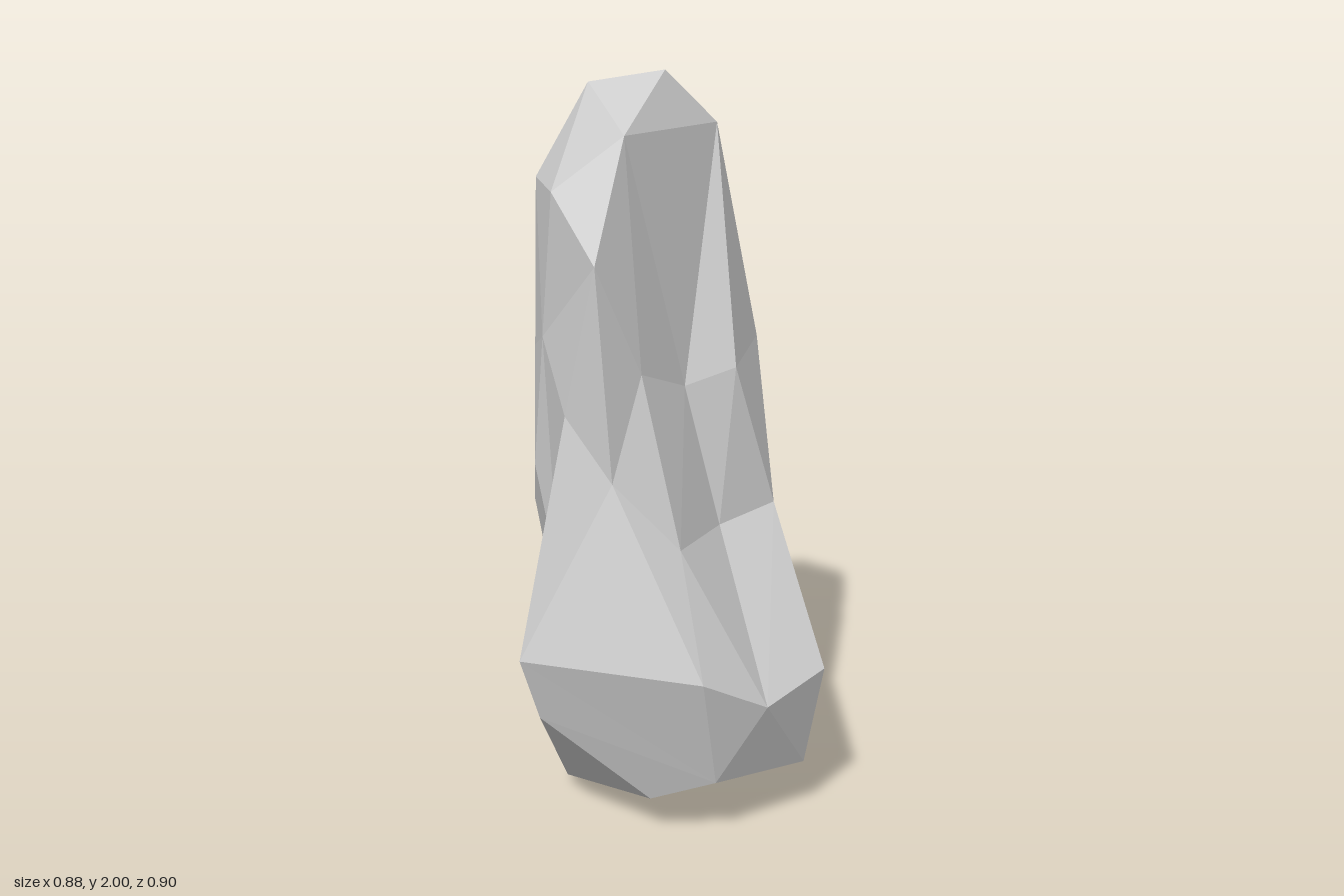
import * as THREE from 'three';

// Irregular cross-sections from the base up; each runs front, +x, back, -x.
const base = [[0.04, 0.19, 0.39], [0.34, 0.16, 0.33], [0.04, 0, -0.05],
  [-0.08, 0.04, -0.29], [-0.19, 0.03, -0.09], [-0.1, 0.12, 0.28]];
const bulge = [[0.16, 0.41, 0.445], [0.36, 0.46, 0.39], [0.44, 0.43, -0.01], [0.385, 0.46, -0.23],
  [-0.09, 0.25, -0.32], [-0.38, 0.38, 0.2], [-0.44, 0.56, 0.22], [-0.03, 0.51, 0.45]];
const shoulder = [[-0.02, 0.82, 0.29], [0.16, 0.82, 0.155], [0.34, 0.85, 0.125], [0.4, 0.91, -0.14],
  [0.24, 0.82, -0.375], [0, 0.79, -0.45], [-0.21, 0.82, -0.26], [-0.275, 0.98, -0.08],
  [-0.25, 0.68, 0.02], [-0.275, 1.17, 0.14], [-0.18, 1.0, 0.22]];
const column = [[-0.085, 1.27, 0.19], [0.08, 1.2, 0.1], [0.22, 1.24, 0.12], [0.36, 1.28, -0.03],
  [0.37, 1.3, -0.175], [0.2, 1.25, -0.373], [-0.03, 1.28, -0.388], [-0.218, 1.27, -0.212],
  [-0.268, 1.34, -0.025], [-0.22, 1.56, 0.21]];
const crown = [[-0.1, 1.86, 0.12], [0.24, 1.86, -0.05], [0.34, 1.69, -0.21], [0.155, 1.67, -0.37],
  [-0.06, 1.78, -0.325], [-0.225, 1.73, -0.165], [-0.26, 1.72, 0.03]];
const tip = [[0.085, 2, -0.04], [0.125, 1.93, -0.215], [-0.095, 1.97, -0.12]];

// Joins two rings; each step moves along the lower (L) or the upper (U) ring.
function stitch(out, lower, upper, steps) {
  let i = 0, j = 0;
  for (const step of steps) {
    const a = lower[i % lower.length], b = upper[j % upper.length];
    if (step === 'L') out.push(a, lower[++i % lower.length], b);
    else out.push(a, upper[++j % upper.length], b);
  }
}

export function createModel() {
  const corners = [];
  stitch(corners, base, bulge, 'LUULULULULLUUU');
  stitch(corners, bulge, shoulder, 'UULLULUULUUULLUULUL');
  stitch(corners, shoulder, column, 'ULULULULULULULULLULUL');
  stitch(corners, column, crown, 'LULLULLULULULULUL');
  stitch(corners, crown, tip, 'LULLLULLLU');

  // Close the tip, then fan the underside from its lowest point
  corners.push(...tip);
  const n = base.length;
  for (let k = 2; k < n; k++) corners.push(base[2], base[(2 + k) % n], base[(1 + k) % n]);

  const geometry = new THREE.BufferGeometry();
  geometry.setAttribute('position', new THREE.Float32BufferAttribute(corners.flat(), 3));
  geometry.computeVertexNormals();

  const rock = new THREE.Mesh(geometry,
    new THREE.MeshStandardMaterial({ color: 0xcccccc, flatShading: true }));
  rock.name = 'standingRock';
  const group = new THREE.Group();
  group.name = 'rock';
  group.add(rock);
  return group;
}
